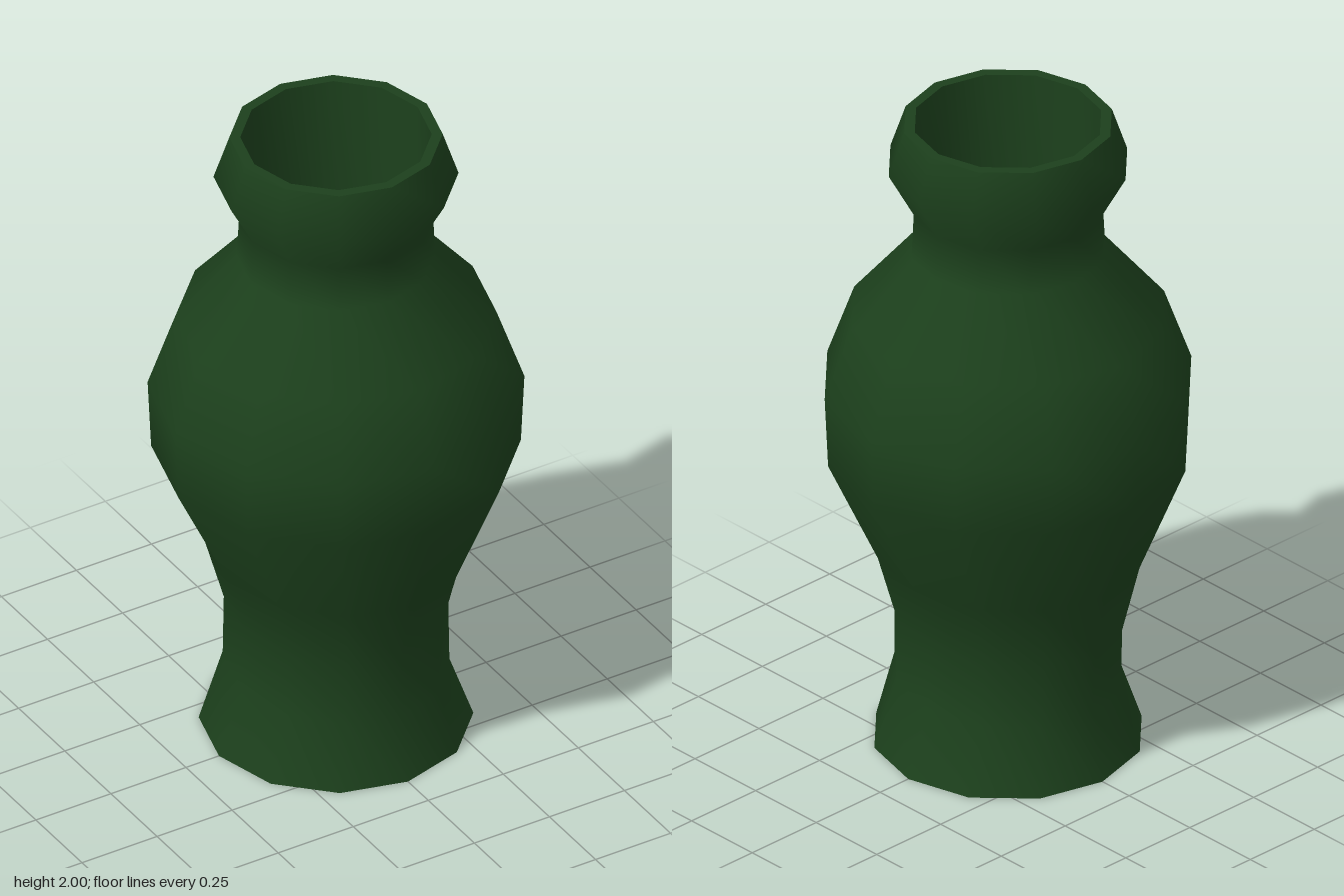
import * as THREE from 'three';
import { mergeVertices } from 'three/addons/utils/BufferGeometryUtils.js';

const SIDES = 12;

// Lofts rings of [y, half width, half depth] into a smooth twelve-sided surface.
function loft(rings) {
  const lathe = new THREE.LatheGeometry(rings.map(([y, rx]) => new THREE.Vector2(rx, y)), SIDES);
  const pos = lathe.attributes.position;
  for (let i = 0; i < pos.count; i++) {
    const [, rx, rz = rx] = rings[i % rings.length];
    if (rx > 0) pos.setZ(i, pos.getZ(i) * rz / rx);
  }
  // Weld the seam so the shading runs on around the vase.
  lathe.deleteAttribute('uv');
  lathe.deleteAttribute('normal');
  const welded = mergeVertices(lathe, 1e-4);
  welded.computeVertexNormals();
  return welded;
}

export function createModel() {
  const vase = new THREE.Group();
  vase.name = 'vase';
  const glaze = new THREE.MeshStandardMaterial({ color: 0x1c401c });

  const add = (name, rings) => {
    const mesh = new THREE.Mesh(loft(rings), glaze);
    mesh.name = name;
    vase.add(mesh);
  };

  // Underside
  add('base', [[0, 0], [0, 0.39]]);

  // Flared foot, slightly oval waist, round belly, neck and collar
  add('body', [
    [0, 0.39, 0.39],
    [0.2, 0.312, 0.35],
    [0.4, 0.305, 0.357],
    [0.61, 0.367, 0.403],
    [0.94, 0.525],
    [1.16, 0.535],
    [1.385, 0.455],
    [1.59, 0.282],
    [1.73, 0.275],
    [1.865, 0.348],
    [2, 0.303],
  ]);

  // Flat lip around the mouth
  add('lip', [[2, 0.303], [2, 0.272]]);

  // Straight, slightly tapered mouth and its floor
  add('innerWall', [[2, 0.272], [1.5, 0.26]]);
  add('innerFloor', [[1.5, 0.26], [1.5, 0]]);

  return vase;
}
